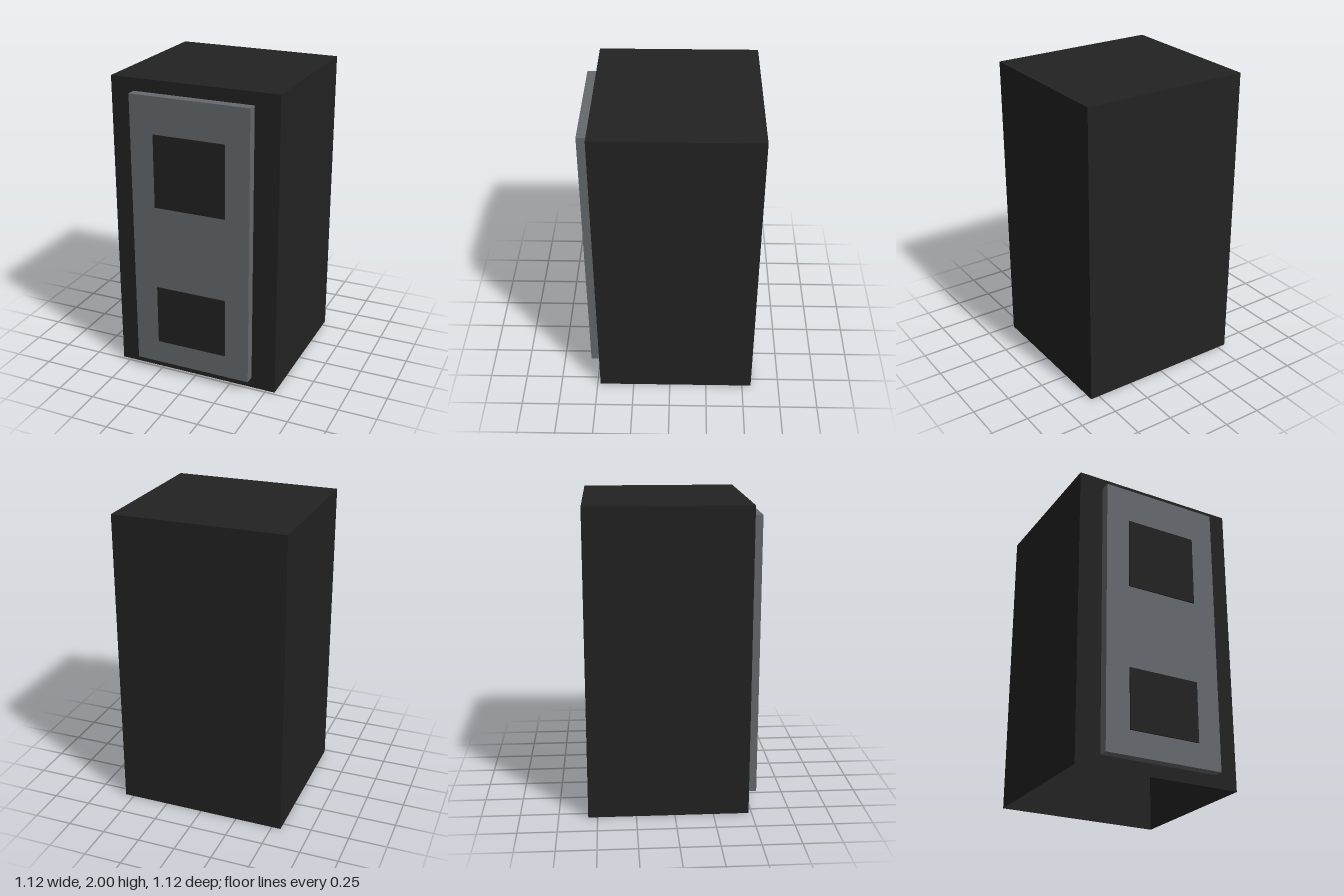
import * as THREE from 'three';

const charcoal = new THREE.MeshStandardMaterial({ color: 0x222222, side: THREE.DoubleSide });
charcoal.name = 'charcoal';
const grey = new THREE.MeshStandardMaterial({ color: 0x65696d });
grey.name = 'slateGrey';

// Box mesh given by its lower and upper bounds
function box(name, material, [x0, y0, z0], [x1, y1, z1]) {
  const geometry = new THREE.BoxGeometry(x1 - x0, y1 - y0, z1 - z0);
  const mesh = new THREE.Mesh(geometry, material);
  mesh.name = name;
  mesh.position.set((x0 + x1) / 2, (y0 + y1) / 2, (z0 + z1) / 2);
  return mesh;
}

export function createModel() {
  const model = new THREE.Group();
  model.name = 'speakerCabinet';

  // Cabinet: a thin shell, open underneath (the fourth face of the box is dropped)
  const cabinet = box('cabinet', charcoal, [-0.56, 0, -0.56], [0.56, 2, 0.48]);
  const index = Array.from(cabinet.geometry.index.array);
  index.splice(18, 6);
  cabinet.geometry.setIndex(index);
  cabinet.geometry.clearGroups();
  model.add(cabinet);

  // Front panel, standing slightly clear of the cabinet
  model.add(box('frontPanel', grey, [-0.4, 0.08, 0.488], [0.4, 1.92, 0.553]));

  // Square driver blocks running through the panel
  model.add(box('upperDriver', charcoal, [-0.24, 1.2, 0.481], [0.24, 1.68, 0.56]));
  model.add(box('lowerDriver', charcoal, [-0.24, 0.24, 0.481], [0.24, 0.64, 0.56]));

  return model;
}
